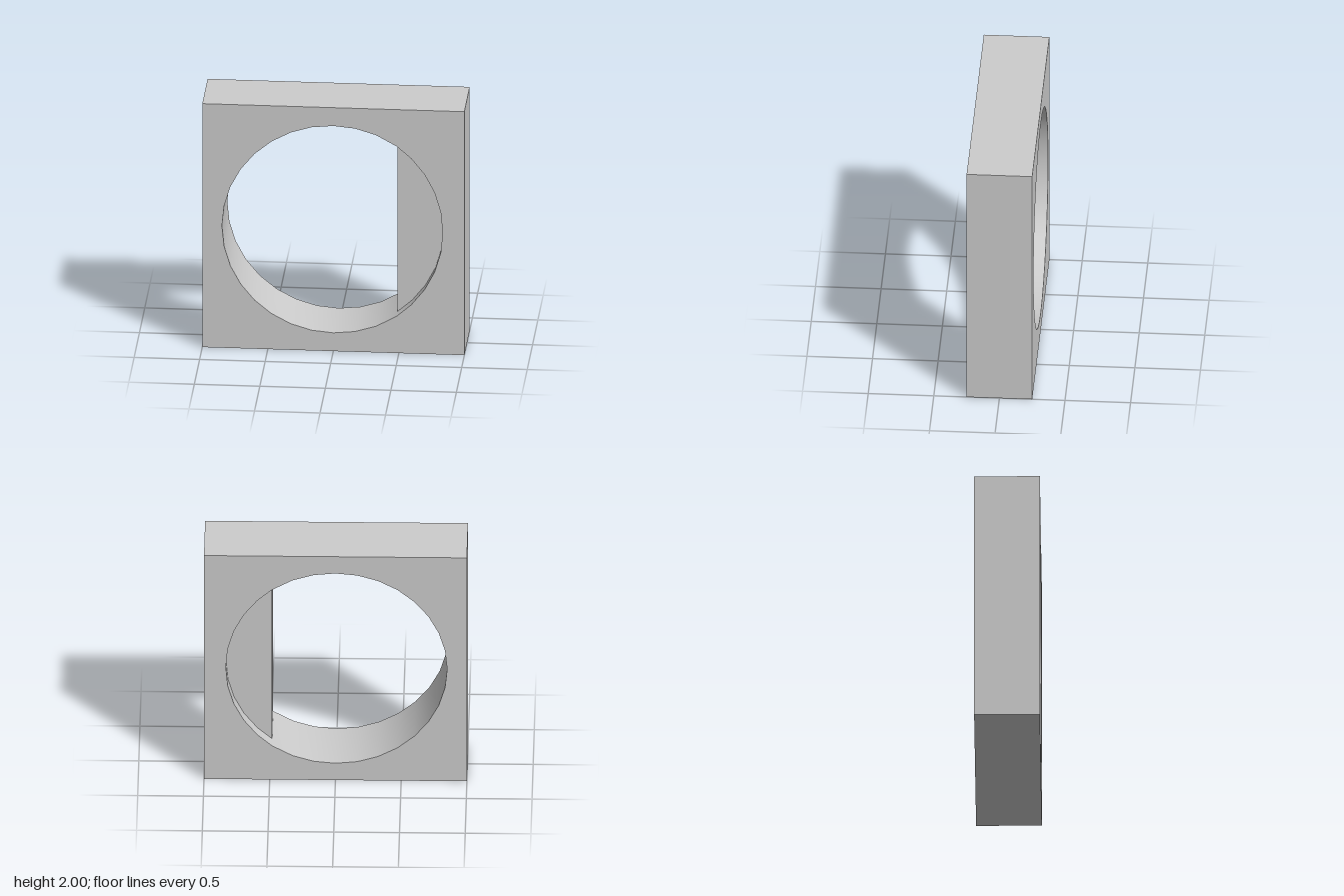
import * as THREE from 'three';
import { toCreasedNormals } from 'three/addons/utils/BufferGeometryUtils.js';

const RADIUS = 0.85, SIDES = 32, CENTRE_Y = 1, PLATE_X = 0.483;
const material = new THREE.MeshStandardMaterial({ color: 0xcccccc });

// Rim of the round opening, pulled in slightly beside the plate
function rimPoint(i) {
  const a = (i / SIDES) * Math.PI * 2;
  let x = RADIUS * Math.cos(a), y = RADIUS * Math.sin(a);
  if (Math.abs(i) === 5) {
    x = PLATE_X;
    y = 0.698 * Math.sign(y);
  } else if (Math.abs(i) < 5) {
    x -= 0.016 * Math.sqrt(1 - Math.abs(i) / 5);
  }
  return new THREE.Vector2(x, CENTRE_Y + y);
}

function slab(name, shape, depth) {
  const geometry = new THREE.ExtrudeGeometry(shape, { depth, bevelEnabled: false });
  geometry.translate(0, 0, -depth / 2);
  const mesh = new THREE.Mesh(toCreasedNormals(geometry, 0.5), material);
  mesh.name = name;
  return mesh;
}

export function createModel() {
  const group = new THREE.Group();
  group.name = 'roundWindowBlock';

  // Square block with a round opening right through it
  const square = new THREE.Shape([[-1, 0], [1, 0], [1, 2], [-1, 2]].map(p => new THREE.Vector2(...p)));
  const rim = [];
  for (let i = -SIDES / 2 + 1; i <= SIDES / 2; i++) rim.push(rimPoint(i));
  square.holes.push(new THREE.Path(rim));
  group.add(slab('block', square, 0.5));

  // Recessed plate closing one side of the opening
  const arc = [];
  for (let i = -5; i <= 5; i++) arc.push(rimPoint(i));
  group.add(slab('sidePlate', new THREE.Shape(arc), 0.3));

  return group;
}
